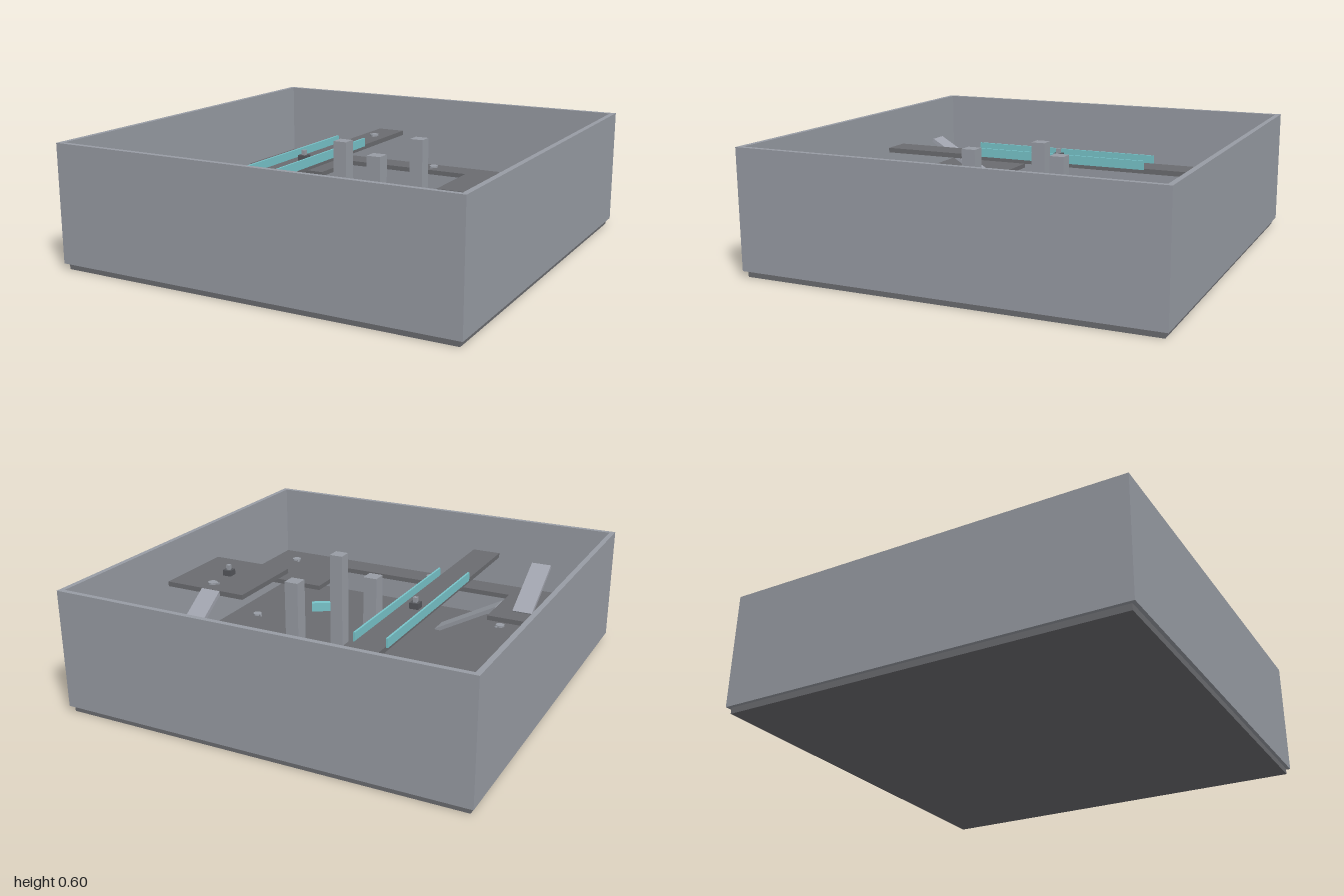
import * as THREE from 'three';

export function createModel() {
  const model = new THREE.Group();
  const mat = (name, color) => {
    const m = new THREE.MeshStandardMaterial({ color });
    m.name = name;
    return m;
  };
  const wallGrey = mat('wall grey', 0x989ca4);
  const floorGrey = mat('floor grey', 0x6b6c70);
  const rampGrey = mat('pale ramp grey', 0xa0a3ad);
  const darkGrey = mat('dark grey', 0x55575c);
  const teal = mat('teal', 0x78c4ca);
  const yellow = mat('yellow', 0xcfc45c);

  const FLOOR = 0.03, LOW = 0.22, HIGH = 0.4, INNER = 0.975;

  const add = (name, geo, material, x = 0, y = 0, z = 0, parent = model) => {
    const mesh = new THREE.Mesh(geo, material);
    mesh.name = name;
    mesh.position.set(x, y, z);
    parent.add(mesh);
    return mesh;
  };
  // Box given by its footprint centre and its bottom height
  const box = (name, material, w, h, d, x, y, z, parent) =>
    add(name, new THREE.BoxGeometry(w, h, d), material, x, y + h / 2, z, parent);
  // Horizontal slab from an outline in x and z, with its underside at y
  const slab = (name, material, points, y, h, hole) => {
    const outline = (list) => list.map(([x, z]) => new THREE.Vector2(x, -z));
    const shape = new THREE.Shape(outline(points));
    if (hole) shape.holes.push(new THREE.Path(outline(hole)));
    const geo = new THREE.ExtrudeGeometry(shape, { depth: h, bevelEnabled: false });
    geo.rotateX(-Math.PI / 2);
    return add(name, geo, material, 0, y, 0);
  };
  const square = (r) => [[-r, r], [r, r], [r, -r], [-r, -r]];

  // Base and surrounding walls
  box('floor', floorGrey, 1.965, FLOOR, 1.965, 0, 0, 0);
  slab('outerWalls', wallGrey, square(1), FLOOR, 0.57, square(INNER));

  // Low galleries: two corner decks joined by a narrow walkway
  for (const s of [-1, 1]) {
    const pts = [[-INNER, 0.495], [-0.495, 0.495], [-0.495, 0.835], [0.495, 0.835],
      [0.495, 0.495], [INNER, 0.495], [INNER, INNER], [-INNER, INNER]];
    slab(s < 0 ? 'backGallery' : 'frontGallery', floorGrey,
      pts.map(([x, z]) => [x, s * z]), LOW - 0.025, 0.025);
  }

  // High bridge with rails, and high side deck
  box('bridge', floorGrey, 0.15, 0.025, INNER * 2, -0.305, HIGH - 0.025, 0);
  for (const s of [-1, 1])
    box('bridgeRail', teal, 0.01, 0.045, 0.98, -0.305 + s * 0.08, HIGH - 0.005, 0);
  box('sideDeck', floorGrey, 0.445, 0.025, 0.45, 0.7525, HIGH - 0.025, -0.003);

  // Sloping slab whose top runs from a low point to a high point
  const ramp = (name, material, low, high, width) => {
    const a = new THREE.Vector3(...low), b = new THREE.Vector3(...high);
    const t = 0.02;
    const geo = new THREE.BoxGeometry(width, t, a.distanceTo(b));
    geo.translate(0, -t / 2, 0);
    const mid = a.clone().add(b).multiplyScalar(0.5);
    add(name, geo, material, mid.x, mid.y, mid.z).lookAt(b);
  };
  ramp('backFloorRamp', wallGrey, [0.15, FLOOR + 0.005, -0.68], [0.49, LOW, -0.68], 0.11);
  ramp('frontFloorRamp', wallGrey, [-0.15, FLOOR + 0.005, 0.68], [-0.49, LOW, 0.68], 0.11);
  ramp('sideDeckRamp', rampGrey, [0.715, LOW + 0.005, -0.49], [0.715, HIGH, -0.23], 0.105);
  ramp('frontCornerRamp', rampGrey, [-0.645, LOW + 0.005, 0.605], [-0.645, HIGH, 0.9], 0.105);

  // Pillars
  for (const [x, z] of [[-0.078, 0], [0.228, -0.228], [0.228, 0.228]])
    box('pillar', wallGrey, 0.07, 0.495, 0.07, x, FLOOR, z);

  // Low angled barriers
  for (const [x, z] of [[-0.682, -0.307], [0.605, -0.378], [0.54, 0.6]])
    box('barrier', teal, 0.11, 0.05, 0.032, x, FLOOR, z).rotation.y = Math.PI / 6;

  // Yellow floor pads
  const padGeo = new THREE.CylinderGeometry(0.045, 0.045, 0.015, 24);
  for (const [x, z] of [[-0.76, 0], [0.38, 0], [0.073, 0.455]])
    add('floorPad', padGeo, yellow, x, FLOOR + 0.0075, z);

  // Small pedestals with a block on top
  for (const [x, y, z] of [[-0.305, HIGH, 0], [0, FLOOR, 0], [0.755, HIGH, 0], [-0.76, LOW, 0.757]]) {
    const group = new THREE.Group();
    group.name = 'pedestal';
    group.position.set(x, y, z);
    model.add(group);
    box('pedestalBase', darkGrey, 0.046, 0.03, 0.046, 0, 0, 0, group);
    box('pedestalTop', wallGrey, 0.02, 0.025, 0.02, 0, 0.03, 0, group);
  }

  // Round start markers, each with a pointer towards the centre
  const discGeo = new THREE.CylinderGeometry(0.024, 0.024, 0.01, 16);
  const markers = [
    [-0.835, LOW, -0.835], [0.832, LOW, -0.835], [-0.835, LOW, 0.832], [0.832, LOW, 0.832],
    [0, LOW, -0.91], [0, LOW, 0.908], [-0.305, HIGH, -0.76], [0.755, HIGH, -0.152],
    [-0.835, FLOOR, 0], [0.832, FLOOR, 0.378], [0.455, FLOOR, -0.832], [-0.455, FLOOR, 0.83],
  ];
  for (const [x, y, z] of markers) {
    const group = new THREE.Group();
    group.name = 'startMarker';
    group.position.set(x, y, z);
    group.rotation.y = Math.atan2(-x, -z);
    model.add(group);
    add('markerDisc', discGeo, wallGrey, 0, 0.005, 0, group);
    box('markerPointer', wallGrey, 0.01, 0.008, 0.02, 0, 0, 0.028, group);
  }

  return model;
}
